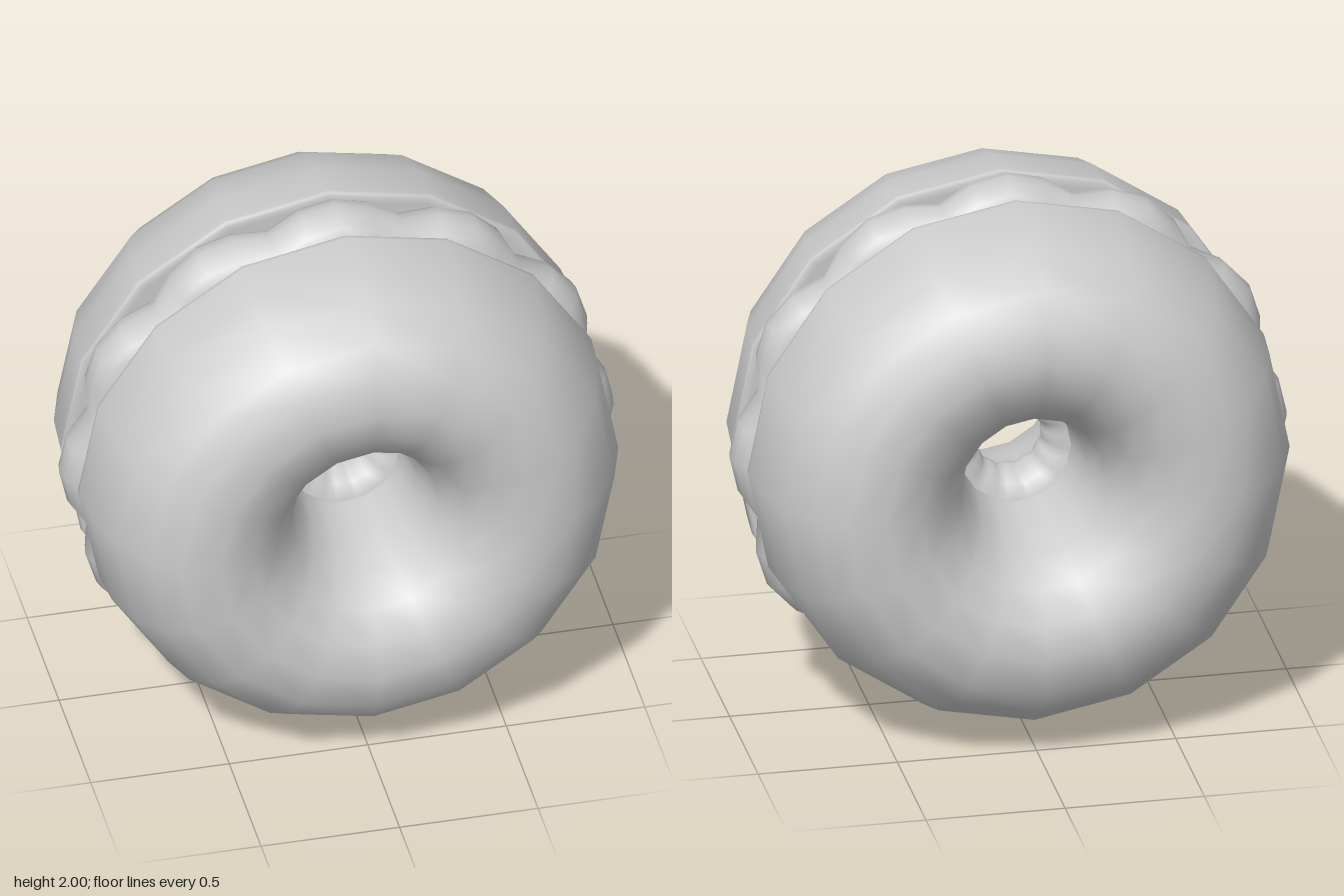
import * as THREE from 'three';
import { mergeVertices } from 'three/addons/utils/BufferGeometryUtils.js';

const material = new THREE.MeshStandardMaterial({ color: 0xcccccc });

// Ring half: [radius, z] section, turned about the z axis
function ringHalf() {
  const section = [
    [0.2, 0.13], [0.22, 0.122], [0.6, 0.122], [0.93, 0.122], [0.952, 0.122], [0.962, 0.13], [0.963, 0.145],
    [0.95, 0.3], [0.9, 0.46], [0.81, 0.59], [0.71, 0.665], [0.575, 0.697],
    [0.45, 0.665], [0.345, 0.59], [0.265, 0.46], [0.22, 0.3], [0.2, 0.15], [0.2, 0.13],
  ].map(([r, z]) => new THREE.Vector2(r, z));
  return new THREE.LatheGeometry(section, 16).rotateX(Math.PI / 2);
}

// Filling: a flat ring with rounded rims, its outer rim swelling into 12 lumps
function fillingRing() {
  const section = [];
  const cap = (centre, start) => {
    for (let i = 0; i <= 8; i++) {
      const a = start + (i / 8) * Math.PI;
      section.push(new THREE.Vector2(centre + 0.125 * Math.cos(a), 0.125 * Math.sin(a)));
    }
  };
  cap(0.875, -Math.PI / 2);
  cap(0.24, Math.PI / 2);
  section.push(section[0].clone());

  let geometry = new THREE.LatheGeometry(section, 48).rotateX(Math.PI / 2);
  const p = geometry.attributes.position;
  for (let i = 0; i < p.count; i++) {
    const x = p.getX(i), y = p.getY(i), r = Math.hypot(x, y);
    const dip = 1 - Math.abs(Math.cos(6 * Math.atan2(x, y)));
    const shift = r > 0.56 ? -0.07 * dip : 0.008 * dip;
    p.setX(i, x * (1 + shift / r));
    p.setY(i, y * (1 + shift / r));
  }
  geometry.deleteAttribute('uv');
  geometry.deleteAttribute('normal');
  geometry = mergeVertices(geometry, 1e-4);
  geometry.computeVertexNormals();
  return geometry;
}

export function createModel() {
  const group = new THREE.Group();
  const add = (name, geometry) => {
    const mesh = new THREE.Mesh(geometry, material);
    mesh.name = name;
    mesh.position.y = 1;
    group.add(mesh);
    return mesh;
  };

  // Two matching halves, back one turned about the vertical
  add('frontHalf', ringHalf());
  add('backHalf', ringHalf()).rotation.y = Math.PI;

  add('filling', fillingRing());
  return group;
}
